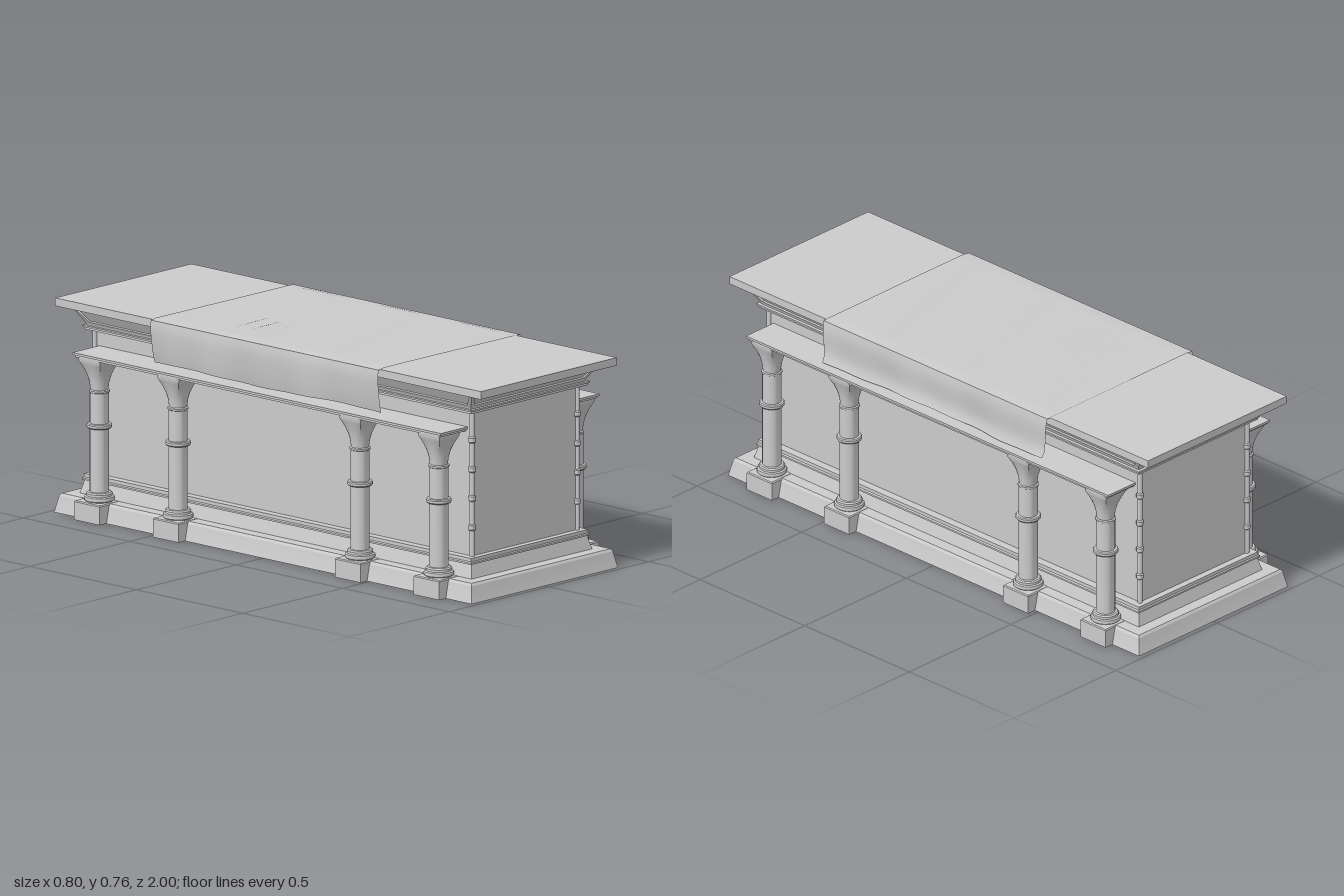
import * as THREE from 'three';
import { toCreasedNormals } from 'three/addons/utils/BufferGeometryUtils.js';

const stone = new THREE.MeshStandardMaterial({ color: 0xcccccc, side: THREE.DoubleSide });

// Skin a list of point rings; rings run counterclockwise seen from above, from low to high
function loft(rings, closed = true, crease = 0.6) {
  const n = rings[0].length, index = [];
  for (let i = 0; i < rings.length - 1; i++) {
    for (let j = 0; j < (closed ? n : n - 1); j++) {
      const k = (j + 1) % n;
      const a = i * n + j, b = i * n + k, c = b + n, d = a + n;
      index.push(a, b, c, a, c, d);
    }
  }
  const g = new THREE.BufferGeometry();
  g.setAttribute('position', new THREE.Float32BufferAttribute(rings.flat(2), 3));
  g.setIndex(index);
  return toCreasedNormals(g, crease);
}

const rect = ([hx, hz, y]) => [[hx, y, hz], [hx, y, -hz], [-hx, y, -hz], [-hx, y, hz]];

function add(parent, name, geometry, x = 0, y = 0, z = 0) {
  const mesh = new THREE.Mesh(geometry, stone);
  mesh.name = name;
  mesh.position.set(x, y, z);
  parent.add(mesh);
  return mesh;
}

const lathe = (points, segments) =>
  toCreasedNormals(new THREE.LatheGeometry(points.map(p => new THREE.Vector2(...p)), segments), 0.6);

// Sloping cornice face: a flat border around a sunken panel
function slopedPanel(a, b, c, d) {
  const corners = [a, b, c, d].map(p => new THREE.Vector3(...p));
  const along = corners[1].clone().sub(corners[0]).normalize();
  const up = corners[3].clone().add(corners[2]).sub(corners[0]).sub(corners[1]).normalize();
  const sink = along.clone().cross(up).multiplyScalar(-0.006);
  const inner = corners.map((p, i) => p.clone()
    .addScaledVector(along, i === 0 || i === 3 ? 0.016 : -0.016)
    .addScaledVector(up, i < 2 ? 0.009 : -0.009));
  const sunk = inner.map(p => p.clone().add(sink));
  const middle = sunk[0].clone().add(sunk[2]).multiplyScalar(0.5);
  const rings = [corners, inner, sunk, sunk.map(() => middle)];
  return loft(rings.map(r => r.map(p => p.toArray())), true, 0.2);
}

// Square-topped capital: a circle morphing into a rounded square
function capitalGeometry() {
  const levels = [[0.031, 2, 0.46], [0.033, 2.2, 0.485], [0.037, 3, 0.51],
    [0.043, 5, 0.533], [0.05, 9, 0.553], [0.053, 14, 0.561], [0.053, 14, 0.576]];
  return loft(levels.map(([r, e, y]) => Array.from({ length: 24 }, (_, i) => {
    const a = i / 24 * Math.PI * 2, c = Math.cos(a), s = Math.sin(a);
    const k = r / Math.pow(Math.abs(c) ** e + Math.abs(s) ** e, 1 / e);
    return [k * c, y, -k * s];
  })));
}

// Draped cloth: a cross-section swept along z with folds in the hanging sides
function clothGeometry() {
  const half = [[0.3, 0.752], [0.332, 0.752], [0.349, 0.749], [0.357, 0.741], [0.361, 0.728],
    [0.362, 0.705], [0.361, 0.68], [0.359, 0.65], [0.356, 0.62], [0.352, 0.598]];
  const section = [...half.slice().reverse().map(([x, y]) => [-x, y])];
  for (let i = 1; i < 28; i++) section.push([-0.3 + i * 0.6 / 28, 0.752]);
  section.push(...half);
  const rings = [];
  for (let i = 0; i <= 130; i++) {
    const z0 = -0.535 + i * 1.07 / 130;
    rings.push(section.map(([x, y]) => {
      const side = Math.sign(x), drop = Math.max(0, (0.74 - y) / 0.142);
      const fold = Math.sin(z0 * 13 + side) * 0.5 + Math.sin(z0 * 29 - side * 2) * 0.3;
      const hem = Math.sin(z0 * 9 + side * 1.3) * 0.004;
      // Creases run across the top, strongest towards the right rear
      const patch = Math.exp(-(((x + 0.15) / 0.18) ** 2) - ((z0 + 0.2) / 0.16) ** 2);
      const crease = drop > 0 ? 0 : 0.003 * patch * Math.sin(z0 * 95 + x * 7)
        + 0.0012 * Math.sin(z0 * 17 + x * 5);
      const flare = side > 0 ? Math.max(0, drop - 0.8) * 0.09 : 0;
      return [
        x + side * (drop * (fold * 0.009 - 0.004) + flare),
        Math.max(0.7495, y + crease) * (drop > 0 ? 0 : 1) + (drop > 0 ? y + drop * hem : 0),
        z0 * (1 - 0.012 * drop * (1 + Math.sin(side * 2 + z0)))
      ];
    }));
  }
  return loft(rings, false, 1.2);
}

export function createModel() {
  const model = new THREE.Group();
  model.name = 'drapedAltarTable';

  // Hollow stepped base, open underneath
  add(model, 'steppedBase', loft([
    [0.367, 0.982, 0], [0.365, 0.98, 0.006], [0.354, 0.969, 0.058], [0.348, 0.963, 0.067],
    [0.303, 0.92, 0.067], [0.29, 0.908, 0.115], [0.299, 0.914, 0.115], [0.299, 0.914, 0.121],
    [0.293, 0.91, 0.124], [0.293, 0.91, 0.136], [0.263, 0.886, 0.136]
  ].map(rect), true, 0.3));

  // Body walls
  add(model, 'body', loft([[0.263, 0.886, 0.136], [0.263, 0.886, 0.646]].map(rect)));

  // Beaded shafts at the body corners
  const shaft = [[0.009, 0.136]];
  for (const y of [0.237, 0.34, 0.442, 0.546]) {
    shaft.push([0.009, y - 0.011], [0.013, y - 0.007], [0.013, y + 0.007], [0.009, y + 0.011]);
  }
  shaft.push([0.009, 0.646]);
  const shaftGeometry = lathe(shaft, 12);
  for (const sx of [-1, 1]) for (const sz of [-1, 1]) {
    add(model, 'cornerShaft', shaftGeometry, sx * 0.263, 0, sz * 0.886);
  }

  // Cornice bands and sloping panels
  add(model, 'corniceBand', loft([
    [0.263, 0.886, 0.645], [0.293, 0.91, 0.645], [0.293, 0.91, 0.653], [0.298, 0.914, 0.653],
    [0.298, 0.914, 0.659], [0.286, 0.902, 0.659], [0.288, 0.904, 0.665]
  ].map(rect), true, 0.3));
  const low = rect([0.288, 0.904, 0.665]), high = rect([0.32, 0.938, 0.72]);
  for (let i = 0; i < 4; i++) {
    const k = (i + 1) % 4;
    add(model, 'cornicePanel', slopedPanel(low[i], low[k], high[k], high[i]));
  }

  // Table slab
  add(model, 'tableTop', new THREE.BoxGeometry(0.682, 0.028, 2), 0, 0.734, 0);

  // Side arcades: shelf on four columns, mirrored
  const columnGeometry = lathe([
    [0.047, 0.068], [0.052, 0.072], [0.053, 0.078], [0.051, 0.084], [0.045, 0.087],
    [0.045, 0.095], [0.041, 0.1], [0.033, 0.101], [0.033, 0.324],
    [0.041, 0.325], [0.044, 0.329], [0.044, 0.337], [0.041, 0.341], [0.033, 0.342],
    [0.033, 0.45], [0.036, 0.452], [0.036, 0.458], [0.031, 0.461]
  ], 24);
  const capital = capitalGeometry();
  const block = loft([[0.06, 0.06, 0], [0.06, 0.06, 0.064], [0.057, 0.057, 0.068],
    [0, 0, 0.068]].map(rect), true, 0.3);
  for (const side of [-1, 1]) {
    const arcade = new THREE.Group();
    arcade.name = side > 0 ? 'leftArcade' : 'rightArcade';
    model.add(arcade);
    for (const z of [-0.795, -0.425, 0.43, 0.8]) {
      add(arcade, 'columnBlock', block, side * 0.34, 0, z);
      add(arcade, 'column', columnGeometry, side * 0.338, 0, z);
      add(arcade, 'capital', capital, side * 0.338, 0, z);
    }
    add(arcade, 'shelfUnderside', new THREE.BoxGeometry(0.13, 0.008, 1.715), side * 0.328, 0.576, 0);
    add(arcade, 'shelf', new THREE.BoxGeometry(0.138, 0.008, 1.73), side * 0.329, 0.584, 0);
  }

  // Cloth over the table top
  add(model, 'cloth', clothGeometry());
  return model;
}
